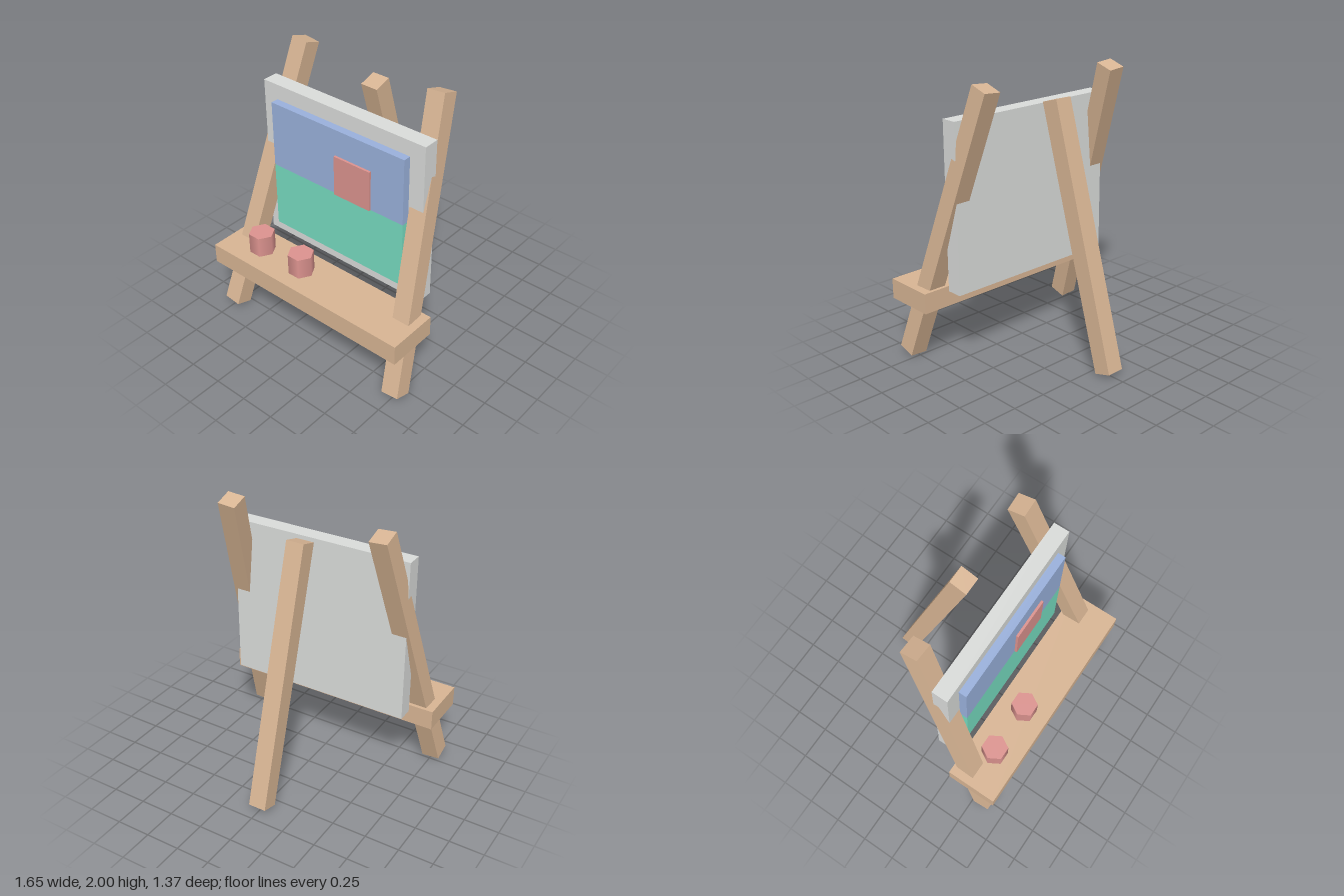
import * as THREE from 'three';

const mat = (name, color) => {
  const m = new THREE.MeshStandardMaterial({ color });
  m.name = name;
  return m;
};

export function createModel() {
  const wood = mat('wood', 0xd8b594);
  const canvasGrey = mat('canvas grey', 0xdadcda);
  const blue = mat('sky blue', 0x9ab1dc);
  const green = mat('meadow green', 0x77dcc0);
  const red = mat('red', 0xdc938f);

  const easel = new THREE.Group();
  easel.name = 'easel';

  const add = (name, geometry, material, x, y, z) => {
    const mesh = new THREE.Mesh(geometry, material);
    mesh.name = name;
    mesh.position.set(x, y, z);
    easel.add(mesh);
    return mesh;
  };
  // Box given by its lower and upper limits on each axis
  const block = (name, material, [x0, x1], [y0, y1], [z0, z1]) =>
    add(name, new THREE.BoxGeometry(x1 - x0, y1 - y0, z1 - z0), material,
      (x0 + x1) / 2, (y0 + y1) / 2, (z0 + z1) / 2);

  // Front legs lean back and splay outwards
  const T = 0.13;
  for (const [side, s] of [['left', 1], ['right', -1]]) {
    const leg = add(side + 'FrontLeg', new THREE.BoxGeometry(T, 2.058, T), wood, s * 0.656, 1, 0.259);
    leg.rotation.set(-0.316, 0, s * 0.091);
  }

  // Rear prop leg leans forward
  const rear = add('rearLeg', new THREE.BoxGeometry(T, 1.872, T), wood, 0, 0.928, -0.3625);
  rear.rotation.x = 0.279;

  // Canvas with the painted picture
  block('canvas', canvasGrey, [-0.675, 0.675], [0.555, 1.75], [0.124, 0.238]);
  block('paintedSky', blue, [-0.56, 0.56], [1.155, 1.64], [0.238, 0.294]);
  block('paintedGround', green, [-0.56, 0.56], [0.667, 1.155], [0.238, 0.294]);
  block('paintedSquare', red, [0, 0.298], [1.155, 1.45], [0.294, 0.311]);

  // Tray and the hexagonal paint pots standing on it
  block('tray', wood, [-0.823, 0.823], [0.405, 0.552], [0.312, 0.685]);
  for (const x of [-0.525, -0.15]) {
    const pot = add('paintPot', new THREE.CylinderGeometry(0.093, 0.093, 0.155, 6), red, x, 0.628, 0.498);
    pot.rotation.y = Math.PI / 6;
  }

  return easel;
}
